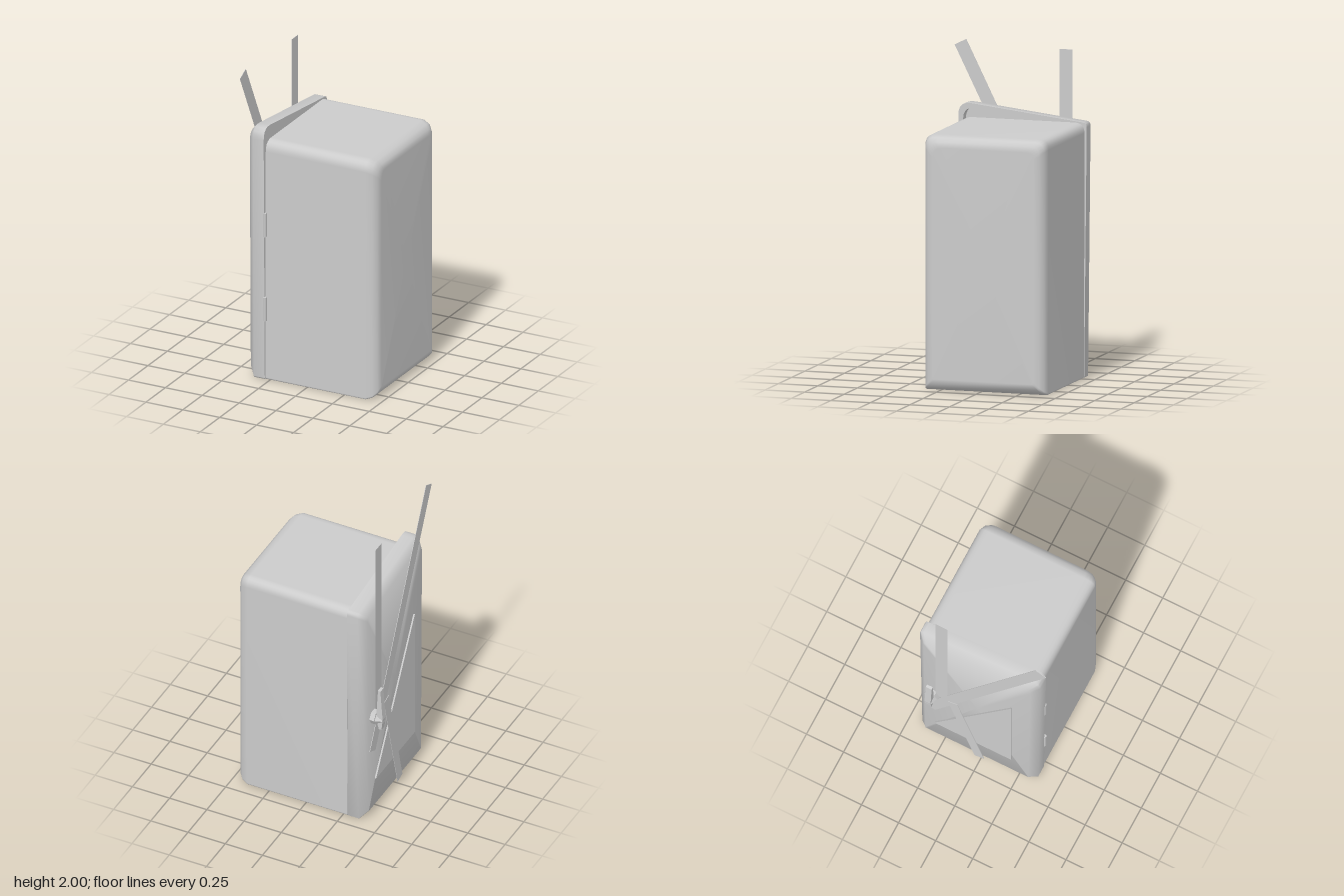
import * as THREE from 'three';
import { toCreasedNormals } from 'three/addons/utils/BufferGeometryUtils.js';

const grey = new THREE.MeshStandardMaterial({ color: 0xcccccc, side: THREE.DoubleSide });

// Closed outline in (z, y) from corners [z, y, radius], counter-clockwise seen from +x
function roundedOutline(corners, steps = 5) {
  const pts = [];
  corners.forEach(([z, y, r], i) => {
    const p = new THREE.Vector2(z, y);
    if (!r) return pts.push(p);
    const toward = (c) => p.clone().add(new THREE.Vector2(c[0], c[1]).sub(p).setLength(r));
    const prev = corners.at(i - 1), next = corners[(i + 1) % corners.length];
    pts.push(...new THREE.QuadraticBezierCurve(toward(prev), p, toward(next)).getPoints(steps));
  });
  return pts;
}

// Loft the outline along x through rings [x, inset]; inset null closes to the centre
function loft(outline, rings) {
  const box = new THREE.Box2().setFromPoints(outline);
  const c = box.getCenter(new THREE.Vector2()), s = box.getSize(new THREE.Vector2());
  const pos = [], index = [], n = outline.length;
  rings.forEach(([x, inset], k) => {
    const fz = inset === null ? 0 : 1 - 2 * inset / s.x;
    const fy = inset === null ? 0 : 1 - 2 * inset / s.y;
    outline.forEach((p, i) => {
      pos.push(x, c.y + (p.y - c.y) * fy, c.x + (p.x - c.x) * fz);
      if (k === rings.length - 1) return;
      const a = k * n + i, b = k * n + (i + 1) % n;
      if (inset !== null) index.push(a, b, b + n);
      if (rings[k + 1][1] !== null) index.push(a, b + n, a + n);
    });
  });
  const g = new THREE.BufferGeometry();
  g.setAttribute('position', new THREE.Float32BufferAttribute(pos, 3));
  g.setIndex(index);
  g.computeVertexNormals();
  return g;
}

export function createModel() {
  const model = new THREE.Group();
  const add = (name, geometry, x = 0, y = 0, z = 0, parent = model) => {
    const mesh = new THREE.Mesh(geometry, grey);
    mesh.name = name;
    mesh.position.set(x, y, z);
    parent.add(mesh);
    return mesh;
  };

  // Cabinet body with softly rounded far end
  const bodyOutline = roundedOutline([
    [-0.422, 0, 0.012], [-0.425, 1.55, 0.06], [0.355, 1.55, 0.07], [0.355, 0, 0.012],
  ]);
  add('body', loft(bodyOutline, [
    [-0.278, 0], [0.395, 0], [0.435, 0.014], [0.459, 0.038], [0.47, 0.072], [0.47, null],
  ]));
  add('bodyBackPanel', loft(bodyOutline, [[-0.278, null], [-0.278, 0]]));

  // Door: chamfered outer edge, sloping top and a hollow inner side
  const doorOutline = roundedOutline([
    [-0.422, 0, 0.01], [-0.438, 1.549, 0.025], [0.375, 1.643, 0.085], [0.36, 0, 0.01],
  ]);
  add('door', toCreasedNormals(loft(doorOutline, [
    [-0.4, null], [-0.4, 0.046], [-0.355, 0], [-0.282, 0],
    [-0.282, 0.03], [-0.335, 0.03], [-0.335, null],
  ]), 1));

  // Hinge barrels
  for (const y of [0.46, 1.008]) {
    add('hinge', new THREE.CylinderGeometry(0.012, 0.012, 0.153, 6), -0.28, y, 0.364);
  }

  // Flat triangular plate on the door
  const triangle = roundedOutline([[-0.31, 0.25], [0.205, 1.14], [0.205, 0.25]]);
  add('trianglePlate', toCreasedNormals(loft(triangle, [
    [-0.415, null], [-0.415, 0], [-0.405, 0], [-0.405, null],
  ]), 0.5));

  // Thin flat strips lying against the door: x, start [z, y], end [z, y], width
  const strips = [
    ['verticalStrip', -0.408, [-0.265, 0.73], [-0.265, 1.97], 0.08],
    ['slantedStrip', -0.408, [-0.345, 0.48], [0.403, 1.982], 0.082],
    ['lowerStrip', -0.42, [-0.185, 0.765], [-0.005, 0.05], 0.065],
  ];
  for (const [name, x, a, b, width] of strips) {
    const dz = b[0] - a[0], dy = b[1] - a[1];
    const strip = add(name, new THREE.BoxGeometry(0.003, Math.hypot(dz, dy), width),
      x, (a[1] + b[1]) / 2, (a[0] + b[0]) / 2);
    strip.rotation.x = Math.atan2(dz, dy);
  }

  // Latch handle: hexagonal boss, tapered hub and upright lever
  const handle = new THREE.Group();
  handle.name = 'handle';
  model.add(handle);
  const hex = (r1, r2, h) => toCreasedNormals(new THREE.CylinderGeometry(r1, r2, h, 6).rotateZ(Math.PI / 2), 0.5);
  add('handleBoss', hex(0.046, 0.046, 0.032), -0.415, 0.73, -0.325, handle);
  add('handleHub', hex(0.023, 0.038, 0.045), -0.452, 0.725, -0.325, handle);
  const lever = new THREE.Shape([
    [-0.468, 0.66], [-0.45, 0.66], [-0.432, 0.73], [-0.445, 0.95], [-0.461, 0.945], [-0.476, 0.735],
  ].map(([x, y]) => new THREE.Vector2(x, y)));
  add('handleLever', new THREE.ExtrudeGeometry(lever, { depth: 0.04, bevelEnabled: false }), 0, 0, -0.345, handle);

  return model;
}
